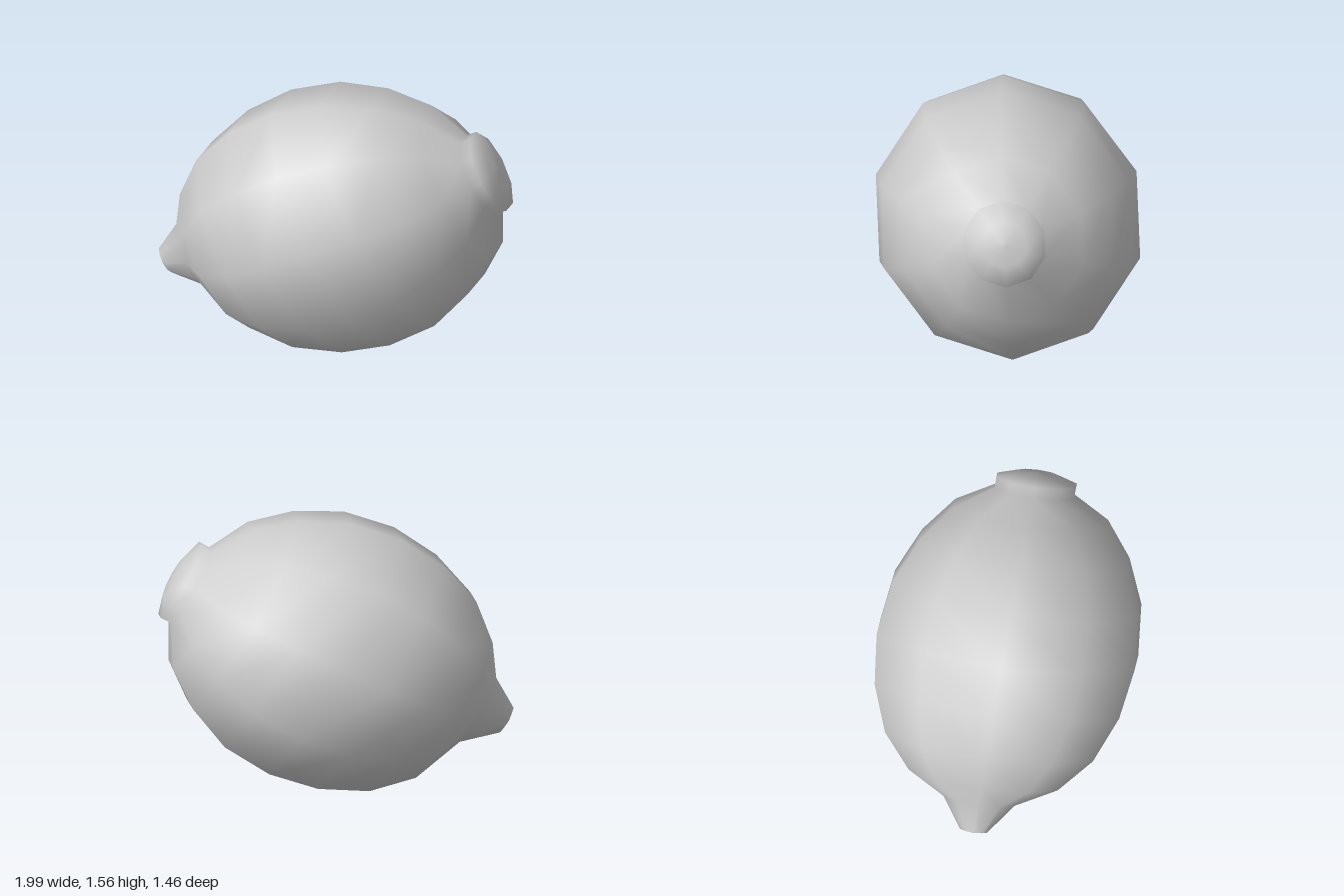
import * as THREE from 'three';

const SIDES = 10;
const UP = new THREE.Vector3(-0.5, 0.866, 0);      // ring "up", fruit leans 30 degrees
const SIDE = new THREE.Vector3(-0.06, 0, 0.97);    // ring "sideways", slight yaw

// Rings from the pointed tip to the stem end: centre x, centre y, radius
const RINGS = [
  [-0.969, 0.402, 0.002],
  [-0.955, 0.41, 0.083],   // tip
  [-0.79, 0.473, 0.217],   // neck of the tip
  [-0.65, 0.475, 0.457],   // body
  [-0.47, 0.558, 0.638],
  [-0.23, 0.668, 0.75],
  [0.025, 0.785, 0.791],
  [0.29, 0.903, 0.755],
  [0.52, 1.01, 0.636],
  [0.705, 1.095, 0.468],
  [0.82, 1.15, 0.242],     // groove under the stem cap
  [0.875, 1.18, 0.244],    // cap rim
  [0.908, 1.198, 0.13],    // cap dome
  [0.916, 1.203, 0.002],
];

// Joins the rings into one smooth closed skin
function loft(rings) {
  const positions = [], index = [];
  for (const [x, y, r] of rings) {
    const centre = new THREE.Vector3(x, y, 0.107 * x);
    for (let j = 0; j < SIDES; j++) {
      const t = (j / SIDES) * Math.PI * 2;
      const p = centre.clone()
        .addScaledVector(UP, r * Math.cos(t))
        .addScaledVector(SIDE, r * Math.sin(t));
      positions.push(p.x, p.y, p.z);
    }
  }
  for (let i = 0; i < rings.length - 1; i++) {
    for (let j = 0; j < SIDES; j++) {
      const k = (j + 1) % SIDES;
      const a = i * SIDES + j, b = i * SIDES + k;
      const c = a + SIDES, d = b + SIDES;
      index.push(a, b, c, b, d, c);
    }
  }
  const geometry = new THREE.BufferGeometry();
  geometry.setAttribute('position', new THREE.Float32BufferAttribute(positions, 3));
  geometry.setIndex(index);
  geometry.computeVertexNormals();
  return geometry;
}

export function createModel() {
  const group = new THREE.Group();
  group.name = 'lemon';
  const fruit = new THREE.Mesh(loft(RINGS), new THREE.MeshStandardMaterial({ color: 0xcccccc }));
  fruit.name = 'fruit';
  group.add(fruit);
  return group;
}
